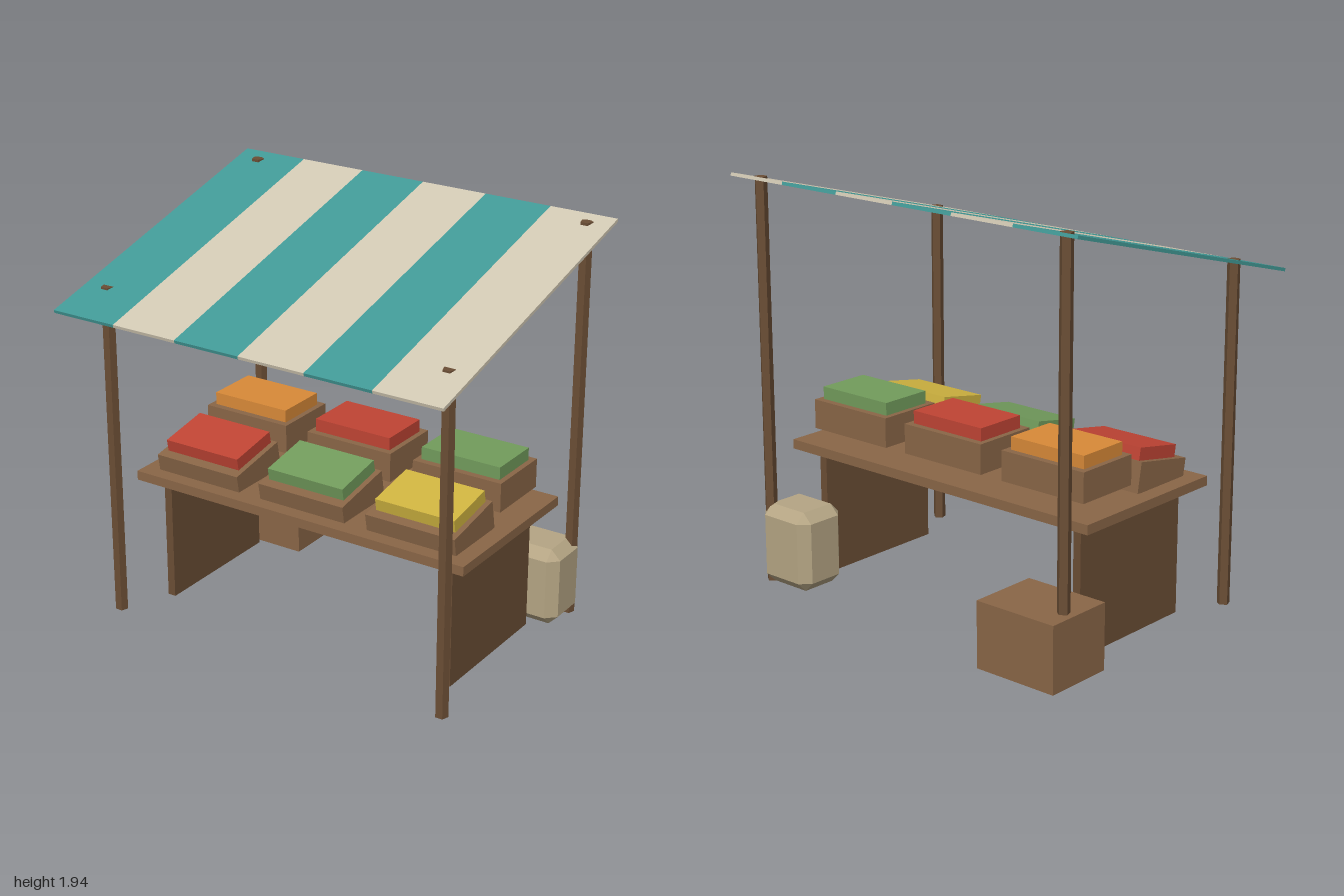
import * as THREE from 'three';
import { ConvexGeometry } from 'three/addons/geometries/ConvexGeometry.js';

const paint = (color) => new THREE.MeshStandardMaterial({ color, flatShading: true });
const teal = paint(0x429a97), cream = paint(0xd2c9b4);
const darkWood = paint(0x6b4e35), wood = paint(0x8a6647), cloth = paint(0xb5a584);
const red = paint(0xc04434), green = paint(0x729c5c), yellow = paint(0xd0b440), orange = paint(0xd98a38);

function add(parent, name, geometry, material, x = 0, y = 0, z = 0) {
  const mesh = new THREE.Mesh(geometry, material);
  mesh.name = name;
  mesh.position.set(x, y, z);
  parent.add(mesh);
  return mesh;
}

const box = (w, h, d) => new THREE.BoxGeometry(w, h, d);

// Box with every edge cut by the same chamfer
function chamferedBox(w, h, d, c) {
  const points = [];
  for (const sx of [-1, 1]) for (const sy of [-1, 1]) for (const sz of [-1, 1]) {
    const x = w / 2, y = h / 2, z = d / 2;
    points.push(
      new THREE.Vector3(sx * x, sy * (y - c), sz * (z - c)),
      new THREE.Vector3(sx * (x - c), sy * y, sz * (z - c)),
      new THREE.Vector3(sx * (x - c), sy * (y - c), sz * z));
  }
  return new ConvexGeometry(points);
}

export function createModel() {
  const stall = new THREE.Group();
  stall.name = 'marketStall';

  // Sloping striped canopy
  const canopy = new THREE.Group();
  canopy.name = 'canopy';
  canopy.position.set(0, 1.737, 0.03);
  canopy.rotation.x = 0.26;
  stall.add(canopy);
  for (let i = 0; i < 6; i++) {
    add(canopy, 'canopyStripe', box(1 / 3, 0.015, 1.508), i % 2 ? cream : teal, -1 + (i + 0.5) / 3);
  }

  // Five-sided posts, taller at the back, and panel legs
  for (const side of [-1, 1]) {
    for (const [name, height, z] of [['frontPost', 1.615, 0.527], ['backPost', 1.925, -0.625]]) {
      const post = new THREE.CylinderGeometry(0.03, 0.03, height, 5);
      add(stall, name, post, darkWood, side * 0.885, height / 2, z).rotation.y = Math.PI;
    }
    add(stall, 'tableLeg', box(0.04, 0.61, 0.69), darkWood, side * 0.767, 0.305, -0.05);
  }
  add(stall, 'tableTop', box(1.77, 0.045, 0.845), wood, 0, 0.632, -0.05);

  // Two rows of produce crates, the front row tipped toward the customer
  const rows = [
    { y: 0.697, z: 0.143, tilt: 0.18, goods: [red, green, yellow] },
    { y: 0.78, z: -0.24, tilt: 0, goods: [orange, red, green] },
  ];
  for (const { y, z, tilt, goods } of rows) {
    goods.forEach((material, i) => {
      const x = (i - 1) * 0.577;
      add(stall, 'produceCrate', box(0.457, 0.14, 0.326), wood, x, y, z).rotation.x = tilt;
      add(stall, 'produce', box(0.405, 0.065, 0.26), material, x, y + 0.0975, z).rotation.x = tilt;
    });
  }

  // Storage crate and sack on the ground behind the table
  add(stall, 'storageCrate', box(0.42, 0.31, 0.34), wood, -0.732, 0.155, -0.59);
  add(stall, 'sack', chamferedBox(0.305, 0.385, 0.266, 0.047), cloth, 0.765, 0.1925, -0.546);

  return stall;
}
